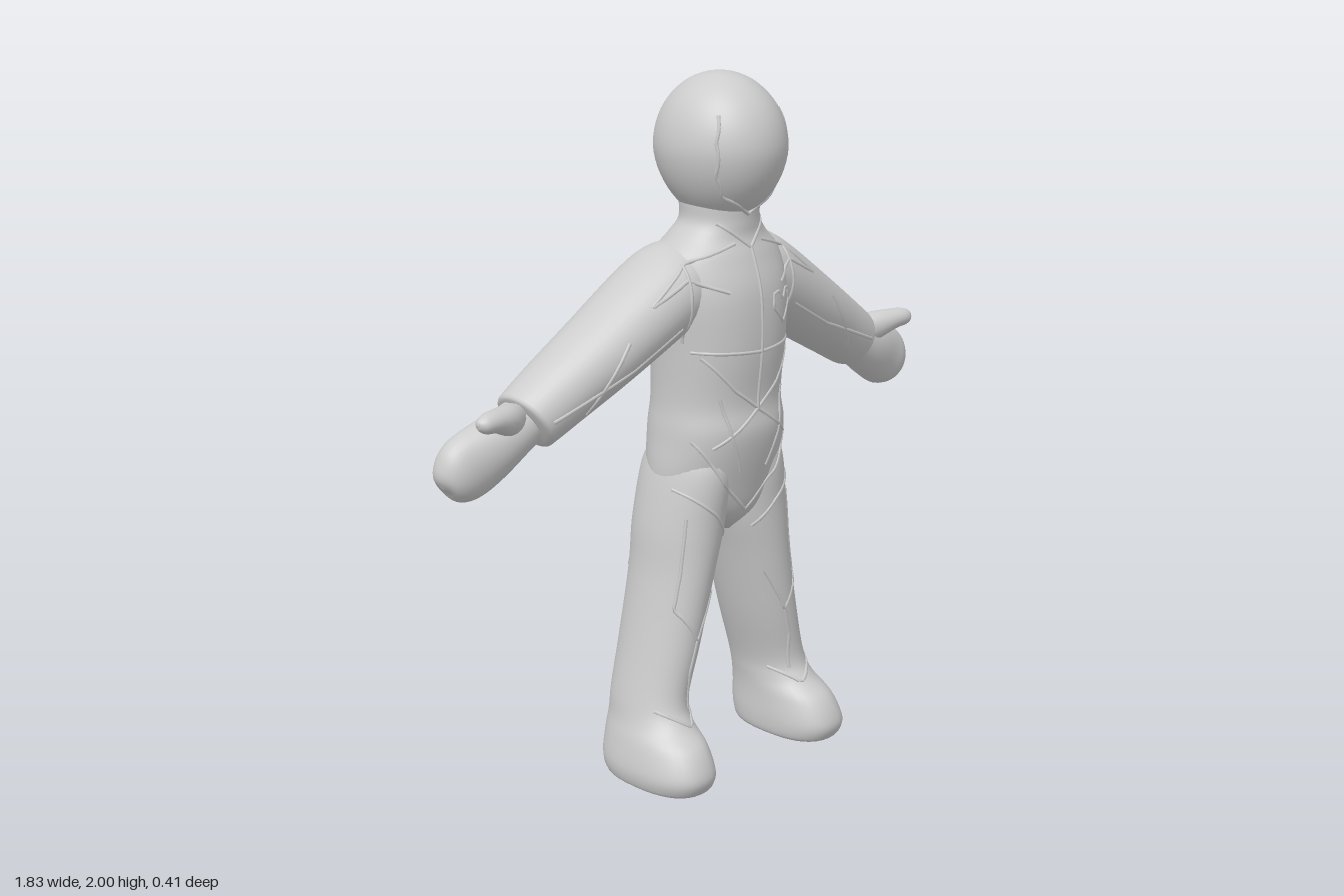
import * as THREE from 'three';

const suit = new THREE.MeshStandardMaterial({ color: 0xcccccc });
suit.name = 'plain grey';

// Closed smooth loft. Section: [x, y, zFront, zBack, radius, squareness].
// Rings stay level when flat is true, otherwise they turn with the path in xy.
function loft(name, sections, { side = 1, flat = false, per = 6, ring = 36 } = {}) {
  const centres = new THREE.CatmullRomCurve3(
    sections.map(s => new THREE.Vector3(s[0] * side, s[1], (s[2] + s[3]) / 2)), false, 'catmullrom', 0.5);
  const radii = new THREE.CatmullRomCurve3(
    sections.map(s => new THREE.Vector3(s[4], (s[2] - s[3]) / 2, s[5] ?? 2)), false, 'catmullrom', 0.5);
  const n = (sections.length - 1) * per, pos = [], idx = [];
  for (let i = 0; i <= n; i++) {
    const c = centres.getPoint(i / n), r = radii.getPoint(i / n);
    const t = centres.getTangent(i / n).setZ(0).normalize();
    const ux = flat ? 1 : t.y, uy = flat ? 0 : -t.x;
    for (let k = 0; k < ring; k++) {
      const a = k / ring * Math.PI * 2, co = Math.cos(a), si = Math.sin(a);
      const p = Math.sign(co) * Math.abs(co) ** (2 / r.z) * Math.max(r.x, 0.001);
      const q = Math.sign(si) * Math.abs(si) ** (2 / r.z) * Math.max(r.y, 0.001);
      pos.push(c.x + ux * p, Math.max(0, c.y + uy * p), c.z + q);
      if (i < n) {
        const k2 = (k + 1) % ring, A = i * ring + k, B = i * ring + k2;
        idx.push(A, A + ring, B, B, A + ring, B + ring);
      }
    }
  }
  // end caps
  const first = pos.length / 3, c0 = centres.getPoint(0), c1 = centres.getPoint(1);
  pos.push(c0.x, c0.y, c0.z, c1.x, c1.y, c1.z);
  for (let k = 0; k < ring; k++) {
    const k2 = (k + 1) % ring;
    idx.push(first, k, k2, first + 1, n * ring + k2, n * ring + k);
  }
  const g = new THREE.BufferGeometry();
  g.setAttribute('position', new THREE.Float32BufferAttribute(pos, 3));
  g.setIndex(idx);
  g.computeVertexNormals();
  const m = new THREE.Mesh(g, suit);
  m.name = name;
  return m;
}

export function createModel() {
  const model = new THREE.Group();
  model.name = 'figure';
  const body = new THREE.Group();
  body.name = 'body';
  model.add(body);

  // Head: egg-shaped, narrower at the chin
  const headGeo = new THREE.SphereGeometry(1, 48, 32);
  const hp = headGeo.attributes.position;
  for (let i = 0; i < hp.count; i++) {
    const y = hp.getY(i), k = y < 0 ? 1 + 0.08 * y : 1;
    hp.setXYZ(i, hp.getX(i) * 0.173 * k, 1.795 + y * 0.205, hp.getZ(i) * 0.197 * k - 0.005);
  }
  headGeo.computeVertexNormals();
  const head = new THREE.Mesh(headGeo, suit);
  head.name = 'head';
  body.add(head);

  // Torso from crotch to neck
  body.add(loft('torso', [
    [0, 0.70, 0.03, -0.12, 0.02], [0, 0.76, 0.085, -0.18, 0.13], [0, 0.85, 0.115, -0.198, 0.205],
    [0, 1.0, 0.15, -0.2, 0.2, 2.2], [0, 1.1, 0.142, -0.19, 0.19, 2.2], [0, 1.25, 0.157, -0.19, 0.195, 2.2],
    [0, 1.4, 0.153, -0.2, 0.208, 2.2], [0, 1.5, 0.125, -0.178, 0.2], [0, 1.555, 0.104, -0.145, 0.15],
    [0, 1.6, 0.102, -0.122, 0.113], [0, 1.67, 0.1, -0.12, 0.108], [0, 1.74, 0.06, -0.08, 0.07],
  ], { flat: true, ring: 48 }));

  for (const side of [1, -1]) {
    const label = side > 0 ? 'left' : 'right';
    // Leg and boot in one sweep, sole first
    body.add(loft(label + 'Leg', [
      [0.267, 0, 0.165, -0.145, 0.085, 2.4], [0.267, 0.015, 0.19, -0.168, 0.102, 2.4],
      [0.268, 0.06, 0.204, -0.18, 0.108, 2.4], [0.262, 0.13, 0.172, -0.182, 0.1, 2.2],
      [0.252, 0.185, 0.108, -0.183, 0.092], [0.24, 0.25, 0.078, -0.185, 0.09],
      [0.2, 0.4, 0.083, -0.188, 0.096], [0.154, 0.6, 0.092, -0.19, 0.103],
      [0.125, 0.75, 0.1, -0.195, 0.115], [0.1, 0.92, 0.11, -0.18, 0.1], [0.1, 1.0, 0.05, -0.1, 0.05],
    ], { side, flat: true }));
    // Sleeve with a rounded cuff
    body.add(loft(label + 'Arm', [
      [0.06, 1.46, 0.06, -0.17, 0.08], [0.13, 1.435, 0.085, -0.19, 0.115], [0.22, 1.385, 0.085, -0.198, 0.12],
      [0.4, 1.275, 0.06, -0.2, 0.108], [0.54, 1.19, 0.03, -0.2, 0.098], [0.625, 1.137, 0.01, -0.197, 0.091],
      [0.645, 1.125, 0, -0.19, 0.086], [0.65, 1.122, -0.03, -0.16, 0.06],
    ], { side }));
    // Mitten and thumb
    body.add(loft(label + 'Hand', [
      [0.6, 1.15, -0.035, -0.165, 0.068], [0.68, 1.105, -0.035, -0.18, 0.072], [0.75, 1.07, -0.04, -0.187, 0.086],
      [0.82, 1.034, -0.055, -0.187, 0.093], [0.865, 1.01, -0.065, -0.182, 0.078],
      [0.893, 0.996, -0.085, -0.165, 0.048], [0.902, 0.99, -0.122, -0.128, 0.004],
    ], { side }));
    body.add(loft(label + 'Thumb', [
      [0.66, 1.125, -0.06, -0.14, 0.05], [0.72, 1.15, -0.025, -0.115, 0.045], [0.78, 1.165, -0.01, -0.085, 0.032],
      [0.825, 1.168, -0.008, -0.065, 0.026], [0.846, 1.17, -0.02, -0.05, 0.014], [0.852, 1.17, -0.034, -0.036, 0.002],
    ], { side, ring: 20 }));
  }

  // Raised seams: flat lines dropped onto the surface from the front or back
  body.updateMatrixWorld(true);
  const ray = new THREE.Raycaster();
  function seam(group, points, facing, sx = 1, r = 0.006) {
    const hits = [];
    points.slice(1).forEach(([x1, y1], i) => {
      const [x0, y0] = points[i];
      const steps = Math.max(2, Math.ceil(Math.hypot(x1 - x0, y1 - y0) / 0.03));
      for (let k = i ? 1 : 0; k <= steps; k++) {
        const f = k / steps;
        ray.set(new THREE.Vector3((x0 + (x1 - x0) * f) * sx, y0 + (y1 - y0) * f, facing),
          new THREE.Vector3(0, 0, -facing));
        const h = ray.intersectObject(body, true)[0];
        if (h) hits.push(h.point.addScaledVector(h.face.normal, -0.002));
      }
    });
    if (hits.length < 2) return;
    const m = new THREE.Mesh(
      new THREE.TubeGeometry(new THREE.CatmullRomCurve3(hits), hits.length * 2, r, 6), suit);
    m.name = 'seam';
    group.add(m);
  }
  const frontPairs = [
    [[0.115, 1.9], [0.135, 1.83], [0.13, 1.74], [0.1, 1.68], [0, 1.62]],   // face edge
    [[0.085, 1.6], [0, 1.53]],                                             // collar
    [[0.05, 1.545], [0.19, 1.5], [0.32, 1.4], [0.2, 1.46], [0.1, 1.42]],   // shoulder
    [[0.195, 1.5], [0.2, 1.4], [0.19, 1.28]],                              // armhole
    [[0.22, 1.33], [0.38, 1.24], [0.48, 1.2], [0.63, 1.14]],               // sleeve
    [[0.4, 1.32], [0.48, 1.2], [0.52, 1.14]],
    [[0.165, 1.24], [0.08, 1.14], [0, 1.08], [-0.14, 0.98]],               // belly
    [[0.18, 1.0], [0.1, 0.87], [0, 0.77]],                                 // groin
    [[0.12, 1.12], [0.09, 1.0], [0.05, 0.9]],
    [[0.21, 0.86], [0.12, 0.78], [0.06, 0.7]],                             // thigh
    [[0.2, 0.78], [0.22, 0.62], [0.24, 0.52], [0.18, 0.42], [0.11, 0.55]], // knee
    [[0.18, 0.42], [0.205, 0.33], [0.21, 0.22]],
    [[0.17, 0.22], [0.23, 0.18], [0.31, 0.23]],                            // ankle
  ];
  const backPairs = [
    [[0, 1.5], [0.1, 1.5], [0.2, 1.47]],                                   // yoke
    [[0, 1.36], [0.1, 1.365], [0.2, 1.4]],
    [[0.2, 1.47], [0.4, 1.33], [0.62, 1.18]],                              // sleeve
    [[0.2, 1.4], [0.4, 1.25], [0.6, 1.11]],
    [[0.1, 0.62], [0.2, 0.6], [0.16, 0.5], [0.1, 0.62]],                   // knee patch
  ];
  const frontSeams = new THREE.Group(), backSeams = new THREE.Group();
  frontSeams.name = 'frontSeams';
  backSeams.name = 'backSeams';
  for (const sx of [1, -1]) {
    frontPairs.forEach(p => seam(frontSeams, p, 1, sx));
    backPairs.forEach(p => seam(backSeams, p, -1, sx));
  }
  seam(frontSeams, [[0, 1.53], [0, 1.4], [0, 1.25], [0, 1.08]], 1);        // front closure
  seam(frontSeams, [[-0.18, 1.255], [0, 1.245], [0.18, 1.255]], 1);        // chest line
  // Small heart patch on the chest
  seam(frontSeams, [[0.1, 1.31], [0.15, 1.36], [0.145, 1.395], [0.12, 1.4], [0.1, 1.375],
    [0.08, 1.4], [0.055, 1.395], [0.05, 1.36], [0.1, 1.31]], 1);
  model.add(frontSeams, backSeams);
  return model;
}
